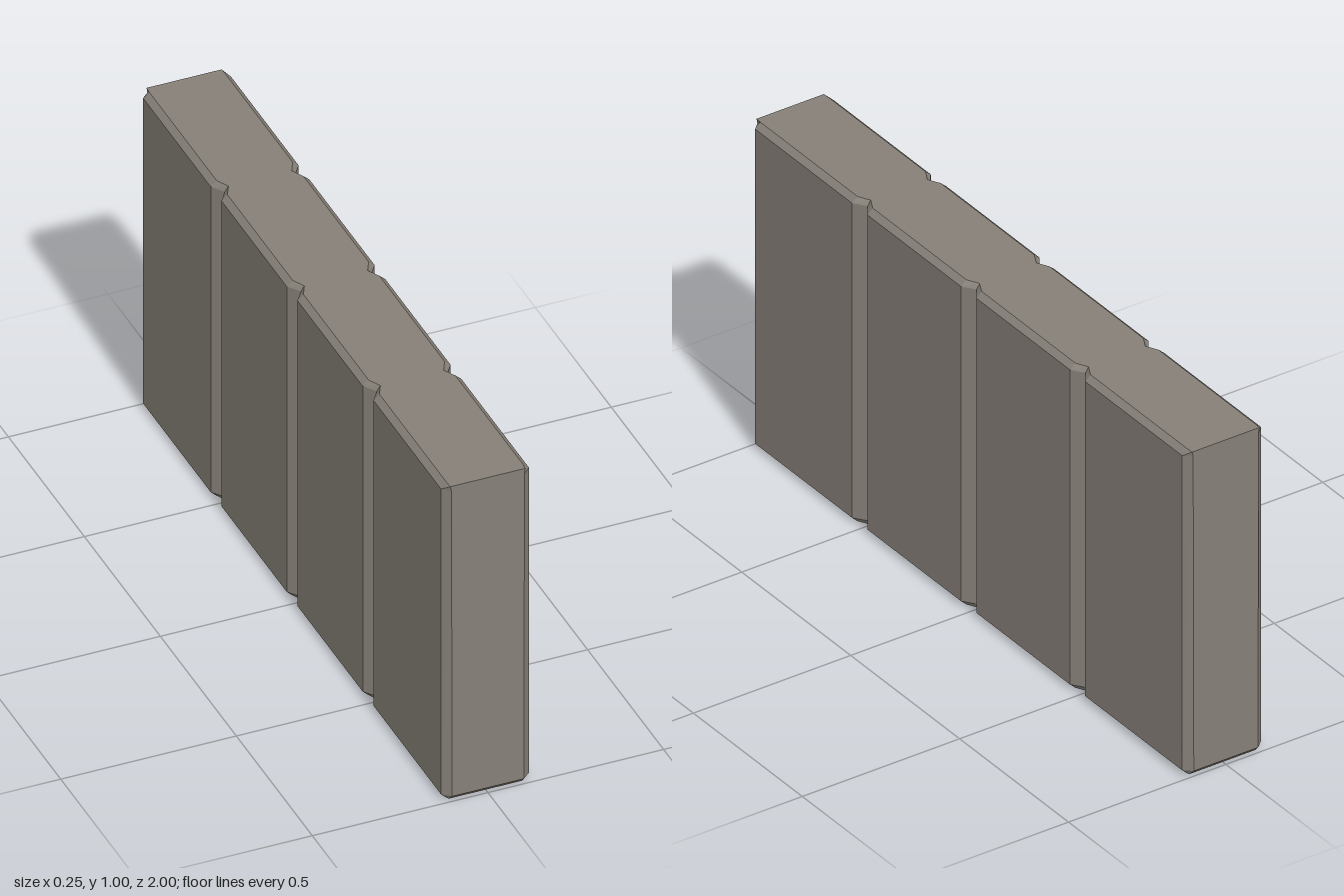
import * as THREE from 'three';

const GROOVES = [0.5, 0, -0.5];
const GROOVE_HALF = 0.035;

// Horizontal cross-section: +x side from front to back, then the mirrored -x side.
function section({ y, side, groove, end, endZ }) {
  const half = [[end, endZ], [side, 0.98]];
  for (const z of GROOVES) {
    half.push([side, z + GROOVE_HALF], [groove, z], [side, z - GROOVE_HALF]);
  }
  half.push([side, -0.98], [end, -endZ]);
  const mirrored = half.map(([x, z]) => [-x, z]).reverse();
  return [...half, ...mirrored].map(([x, z]) => [x, y, z]);
}

// Skins the stacked cross-sections and closes them with strips across x.
function loft(rings) {
  const positions = [];
  const quad = (a, b, c, d) => positions.push(...a, ...b, ...c, ...a, ...c, ...d);
  const n = rings[0].length;
  for (let r = 0; r < rings.length - 1; r++) {
    const low = rings[r], high = rings[r + 1];
    for (let i = 0; i < n; i++) {
      const j = (i + 1) % n;
      quad(low[i], low[j], high[j], high[i]);
    }
  }
  const bottom = rings[0], top = rings[rings.length - 1];
  for (let i = 0; i < n / 2 - 1; i++) {
    quad(top[i], top[i + 1], top[n - 2 - i], top[n - 1 - i]);
    quad(bottom[n - 1 - i], bottom[n - 2 - i], bottom[i + 1], bottom[i]);
  }
  const geometry = new THREE.BufferGeometry();
  geometry.setAttribute('position', new THREE.Float32BufferAttribute(positions, 3));
  geometry.computeVertexNormals();
  return geometry;
}

export function createModel() {
  const stone = new THREE.MeshStandardMaterial({ color: 0x857f77 });
  stone.name = 'warmGreyStone';

  // Wall slab with chamfered rims and three V-grooves on each broad side
  const wall = new THREE.Mesh(loft([
    section({ y: 0, side: 0.108, groove: 0.09, end: 0.104, endZ: 0.985 }),
    section({ y: 0.016, side: 0.125, groove: 0.1, end: 0.102, endZ: 1 }),
    section({ y: 0.985, side: 0.125, groove: 0.1, end: 0.104, endZ: 1 }),
    section({ y: 1, side: 0.108, groove: 0.09, end: 0.107, endZ: 1 }),
  ]), stone);
  wall.name = 'groovedWallSlab';

  const model = new THREE.Group();
  model.name = 'wallSegment';
  model.add(wall);
  return model;
}
